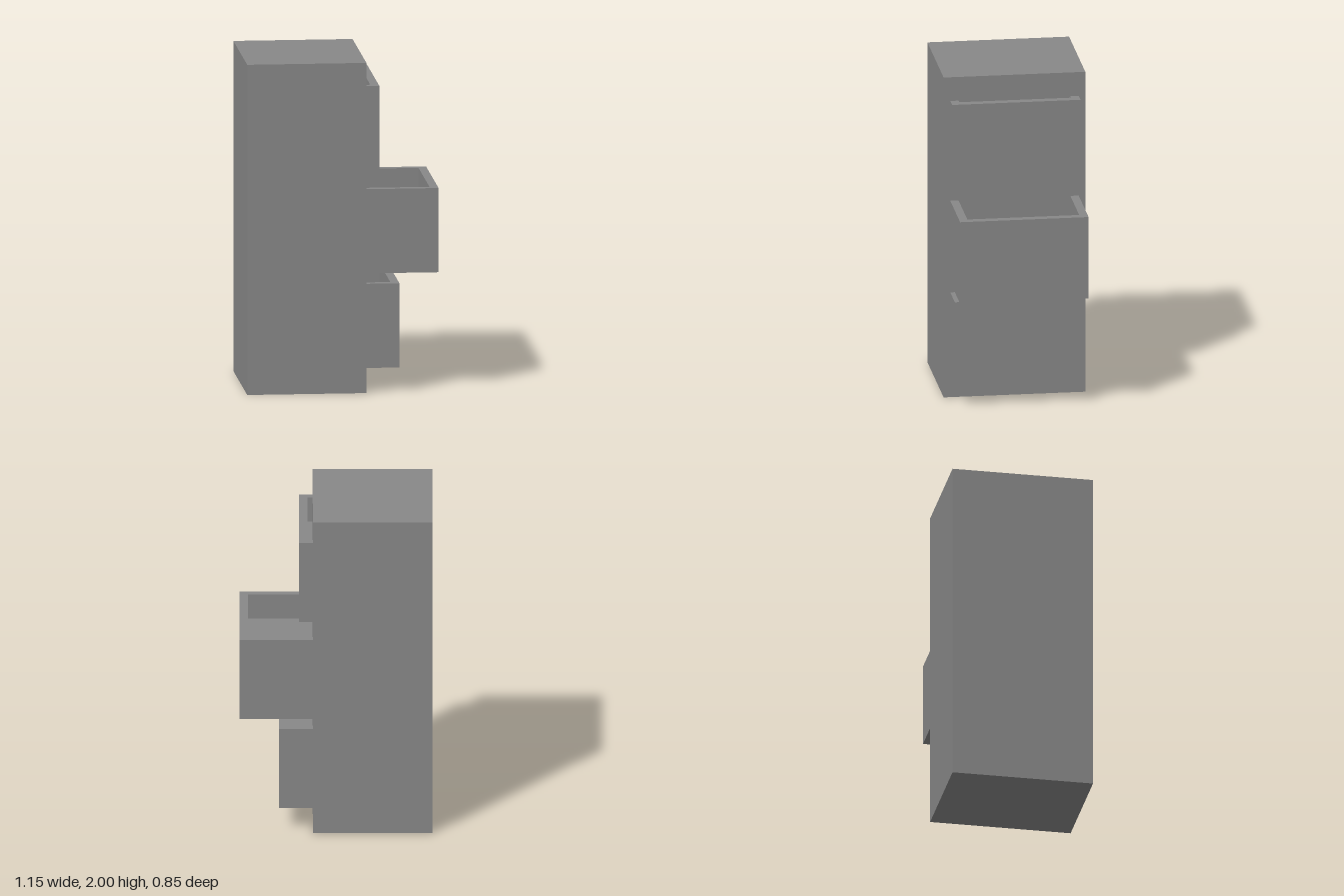
import * as THREE from 'three';

const material = new THREE.MeshStandardMaterial({ color: 0x888888, flatShading: true });

// Box given by its lower and upper bounds
function block(name, [x0, y0, z0], [x1, y1, z1]) {
  const geometry = new THREE.BoxGeometry(x1 - x0, y1 - y0, z1 - z0);
  geometry.translate((x0 + x1) / 2, (y0 + y1) / 2, (z0 + z1) / 2);
  const mesh = new THREE.Mesh(geometry, material);
  mesh.name = name;
  return mesh;
}

const FACE = 0.139;        // cabinet face the drawers slide out of
const HALF = 0.387;        // half the drawer width
const WALL = 0.05;         // drawer wall thickness
const HEIGHT = 0.51;       // drawer height
const FLOOR = 0.357;       // height of the raised drawer floor

// Open-topped drawer: U-shaped wall around a thick floor
function createDrawer(name, bottom, front) {
  const drawer = new THREE.Group();
  drawer.name = name;
  const inner = HALF - WALL;
  const outline = new THREE.Shape([
    [FACE, -HALF], [front, -HALF], [front, HALF], [FACE, HALF],
    [FACE, inner], [front - WALL, inner], [front - WALL, -inner], [FACE, -inner],
  ].map(([x, z]) => new THREE.Vector2(x, z)));
  const geometry = new THREE.ExtrudeGeometry(outline, { depth: HEIGHT, bevelEnabled: false });
  geometry.rotateX(-Math.PI / 2);
  const walls = new THREE.Mesh(geometry, material);
  walls.name = name + 'Walls';
  const floor = block(name + 'Floor', [FACE, 0, -inner], [front - WALL, FLOOR, inner]);
  drawer.add(walls, floor);
  drawer.position.y = bottom;
  return drawer;
}

export function createModel() {
  const model = new THREE.Group();
  model.name = 'drawerCabinet';
  model.add(block('cabinetBody', [-0.576, 0, -0.427], [FACE, 2, 0.427]));

  // Three drawers pulled out by different amounts
  for (const [name, bottom, front] of [
    ['bottomDrawer', 0.145, 0.341],
    ['middleDrawer', 0.718, 0.576],
    ['topDrawer', 1.342, 0.221],
  ]) model.add(createDrawer(name, bottom, front));
  return model;
}
